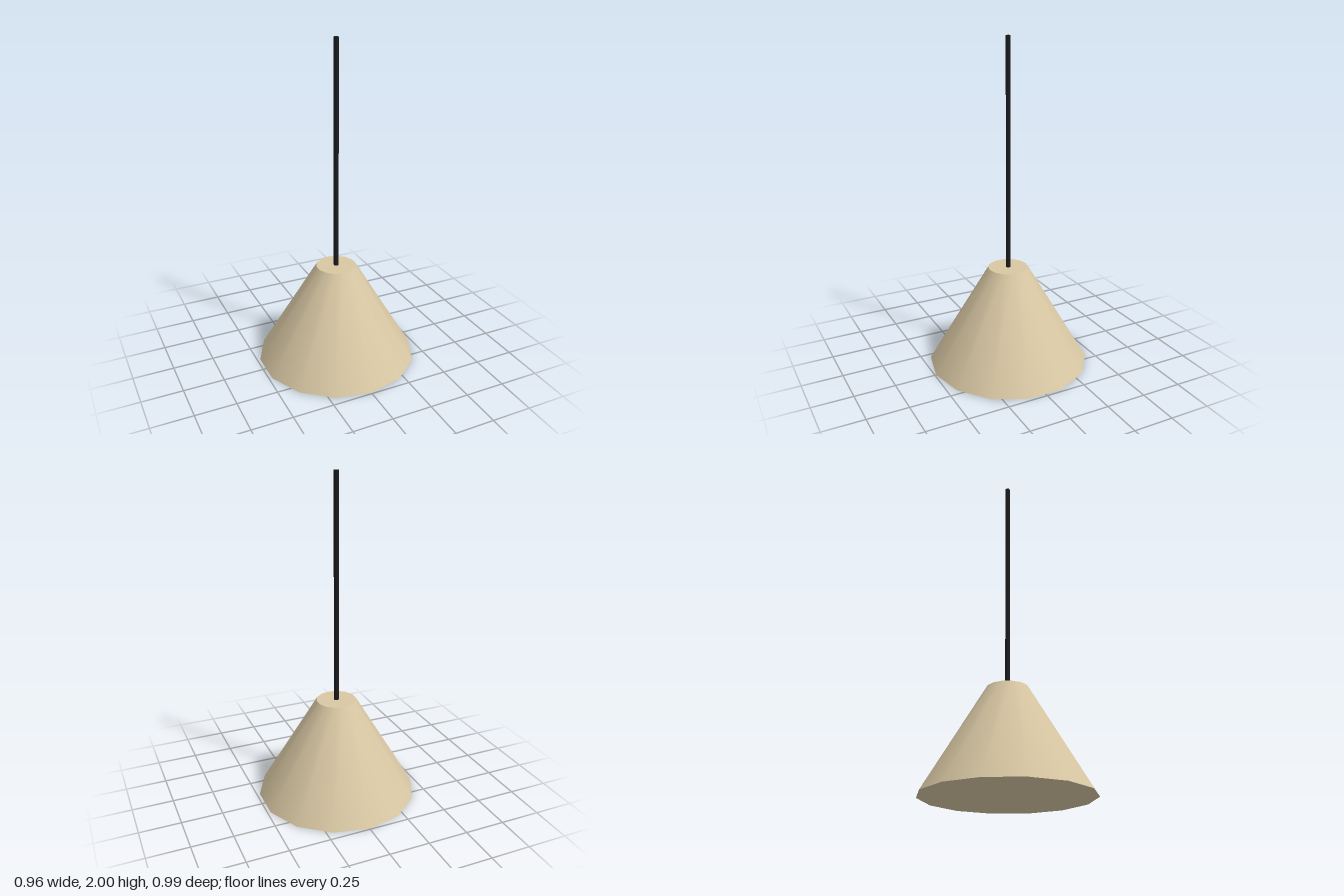
import * as THREE from 'three';

export function createModel() {
  const model = new THREE.Group();
  model.name = 'pendantLamp';

  const beige = new THREE.MeshStandardMaterial({ color: 0xd8c7a3 });
  beige.name = 'beige shade';
  const black = new THREE.MeshStandardMaterial({ color: 0x1c1c1e });
  black.name = 'black cord';

  const SHADE_HEIGHT = 0.62;
  const TOTAL_HEIGHT = 2;

  // Upright closed cylinder standing on the given base height
  function addPart(name, topRadius, bottomRadius, base, top, sides, material) {
    const geometry = new THREE.CylinderGeometry(topRadius, bottomRadius, top - base, sides);
    const mesh = new THREE.Mesh(geometry, material);
    mesh.name = name;
    mesh.position.y = (base + top) / 2;
    model.add(mesh);
  }

  // Fourteen-sided tapered shade, closed at both ends
  addPart('shade', 0.123, 0.493, 0, SHADE_HEIGHT, 14, beige);

  // Thin hexagonal cord rising from the shade
  addPart('cord', 0.0154, 0.0154, SHADE_HEIGHT, TOTAL_HEIGHT, 6, black);

  return model;
}
